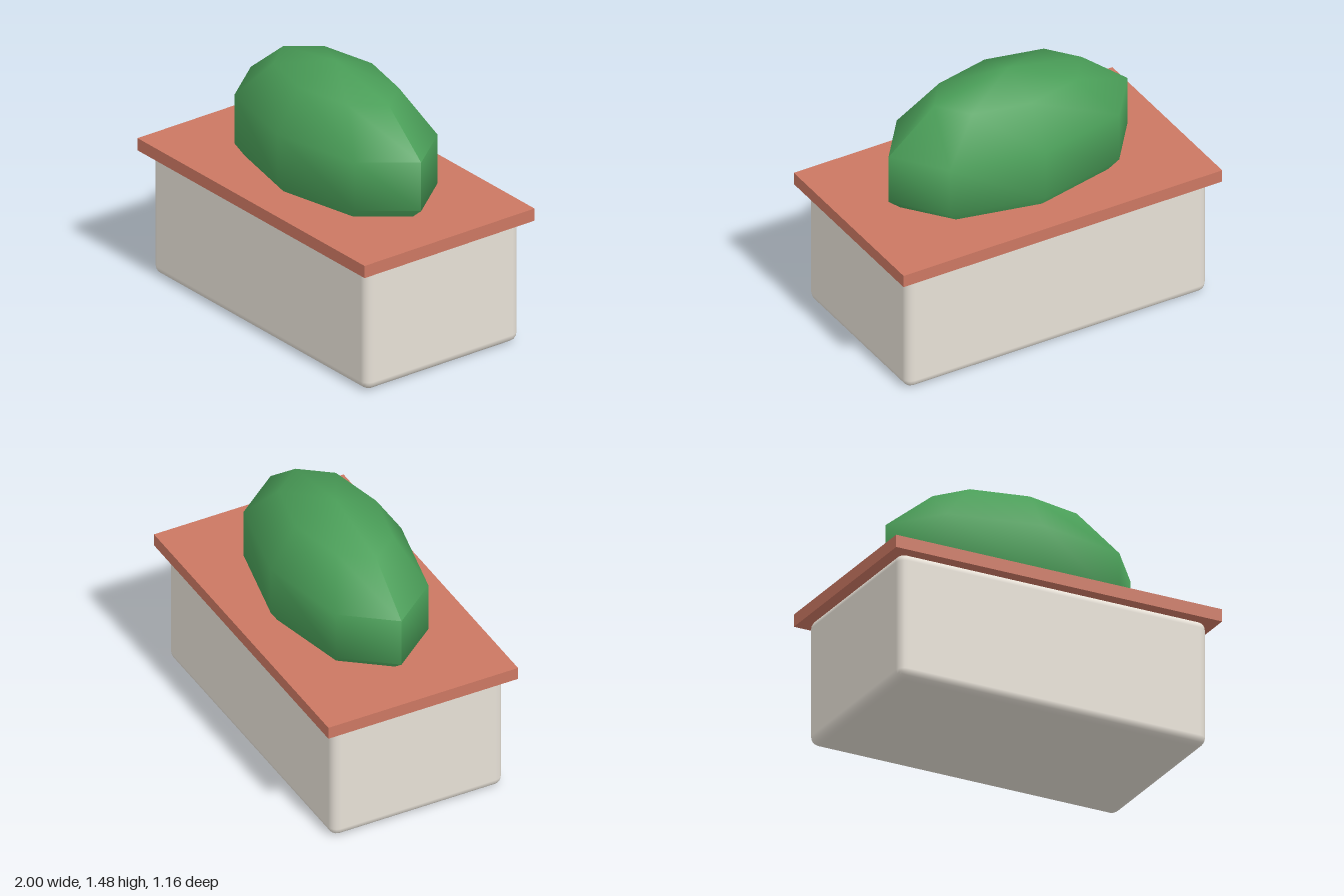
import * as THREE from 'three';
import { RoundedBoxGeometry } from 'three/addons/geometries/RoundedBoxGeometry.js';
import { toCreasedNormals } from 'three/addons/utils/BufferGeometryUtils.js';

function addPart(group, name, geometry, color, y) {
  const mesh = new THREE.Mesh(geometry, new THREE.MeshStandardMaterial({ color }));
  mesh.name = name;
  mesh.position.y = y;
  group.add(mesh);
}

export function createModel() {
  const group = new THREE.Group();
  group.name = 'planterBox';

  // Softly rounded trough standing on the ground
  addPart(group, 'trough', new RoundedBoxGeometry(1.89, 0.74, 1.05, 2, 0.05), 0xe6e0d6, 0.37);

  // Flat slab that overhangs the trough on all sides
  addPart(group, 'rimSlab', new THREE.BoxGeometry(2, 0.073, 1.16), 0xcb7762, 0.7625);

  // Low-poly shrub: a stretched ball sunk into the slab, creased at its pointed ends
  const shrub = new THREE.SphereGeometry(1, 8, 5).scale(0.789, 0.47, 0.42);
  addPart(group, 'shrub', toCreasedNormals(shrub, Math.PI / 3), 0x4a9e58, 1.005);

  return group;
}
